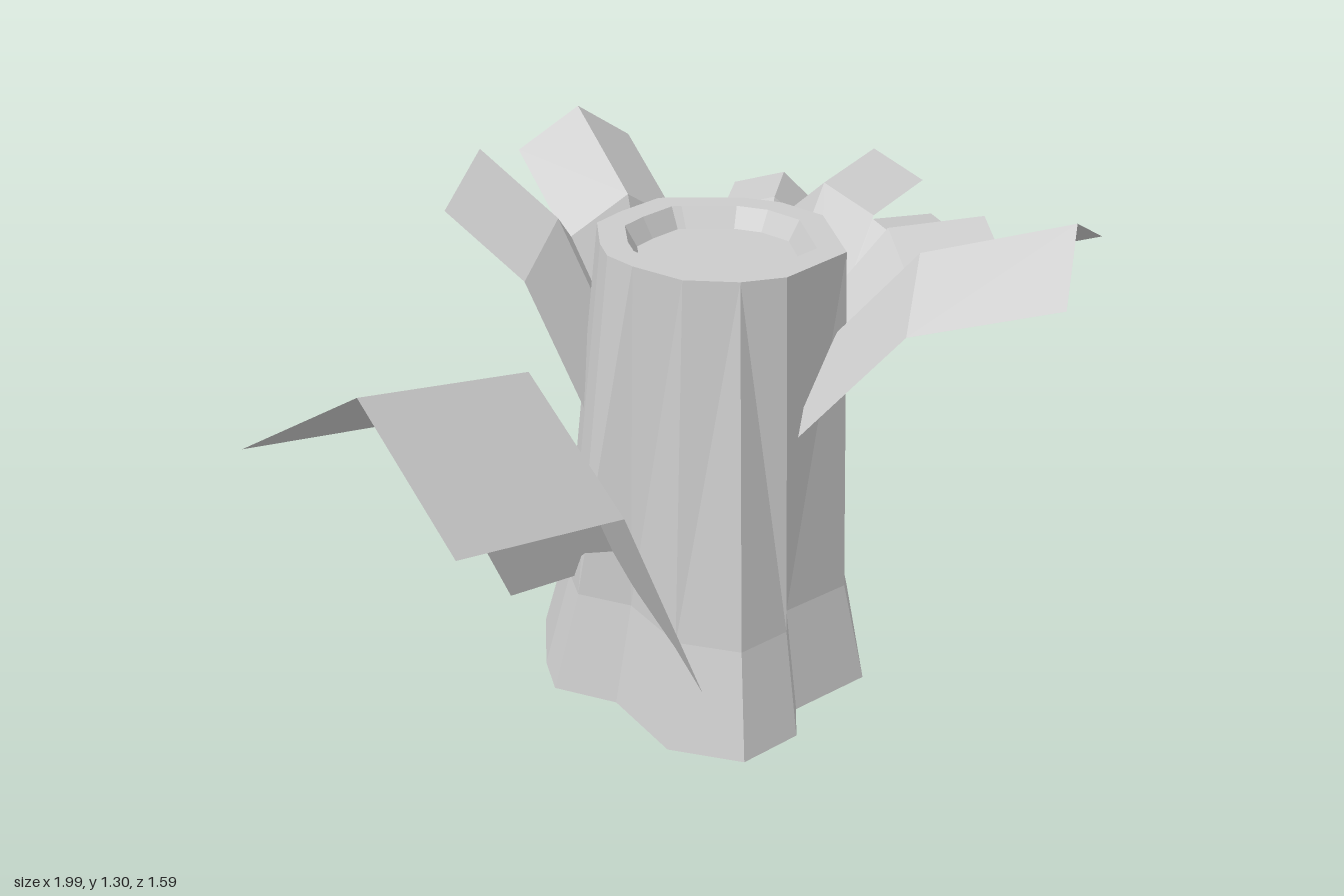
import * as THREE from 'three';

const material = new THREE.MeshStandardMaterial({ color: 0xcccccc, flatShading: true, side: THREE.DoubleSide });

// Skin a list of equally long cross-sections, each a list of [x, y, z]
function loft(name, sections, closed) {
  const n = sections[0].length;
  const index = [];
  for (let i = 0; i < sections.length - 1; i++) {
    for (let j = 0; j < (closed ? n : n - 1); j++) {
      const a = i * n + j, b = i * n + (j + 1) % n;
      index.push(a, a + n, b, b, a + n, b + n);
    }
  }
  const geometry = new THREE.BufferGeometry();
  geometry.setAttribute('position', new THREE.Float32BufferAttribute(sections.flat(2), 3));
  geometry.setIndex(index);
  geometry.computeVertexNormals();
  const mesh = new THREE.Mesh(geometry, material);
  mesh.name = name;
  return mesh;
}

// Bent leaf: a roof-shaped cross-section carried along its ridge points, tilted sideways
function leaf(name, halfWidth, tilt, ridge) {
  const [, bend, tip] = ridge;
  const length = Math.hypot(tip[0] - bend[0], tip[2] - bend[2]);
  const dx = (tip[0] - bend[0]) / length, dz = (tip[2] - bend[2]) / length;
  const drop = 0.65 * halfWidth, out = 0.16 * halfWidth;
  const side = ([x, y, z], s) => [
    x + dx * out - dz * halfWidth * s, y - drop + tilt * s, z + dz * out + dx * halfWidth * s,
  ];
  return loft(name, ridge.map((p) => [side(p, -1), p, side(p, 1)]), false);
}

export function createModel() {
  const group = new THREE.Group();
  const cx = 0.23, cz = 0.03;

  // Trunk corners: x, z on the ground, then x, z at the rim; some root pairs meet at the rim
  const corners = [
    [0.73, -0.09, 0.53, 0.01], [0.51, 0.33, 0.44, 0.26], [0.28, 0.38, 0.23, 0.34],
    [0.22, 0.48, 0.12, 0.32], [0.05, 0.52, 0.12, 0.32], [-0.09, 0.39, 0.01, 0.25],
    [-0.11, 0.15, -0.05, 0.12], [-0.22, 0.02, -0.07, 0.03], [-0.19, -0.1, -0.05, -0.05],
    [-0.1, -0.3, 0.01, -0.19], [0.03, -0.37, 0.1, -0.24], [0.13, -0.48, 0.23, -0.29],
    [0.32, -0.45, 0.26, -0.28], [0.48, -0.21, 0.42, -0.2], [0.68, -0.22, 0.49, -0.12],
  ];
  const ring = (y, scale, k) => corners.map((c) => [cx + (c[k] - cx) * scale, y, cz + (c[k + 1] - cz) * scale]);

  // Flared trunk, open underneath
  group.add(loft('trunk', [ring(0, 1, 0), ring(0.26, 0.85, 0), ring(1.15, 1, 2)], true));
  // Flat rim, shallow inner wall and floor of the hollow
  group.add(loft('hollowRim', [ring(1.15, 1, 2), ring(1.15, 0.77, 2), ring(1.1, 0.67, 2), ring(1.1, 0, 2)], true));

  // Leaves, each ridge running from the trunk over a bend to the tip
  const leaves = [
    ['largeLeaf', 0.33, 0.012, [[-0.07, 0.36, 0.08], [-0.38, 1.01, 0.27], [-0.83, 1.11, 0.445]]],
    ['backLeaf', 0.165, 0, [[0.23, 0.67, -0.29], [0.23, 1.11, -0.46], [0.23, 1.27, -0.76]]],
    ['backRightLeaf', 0.17, 0, [[0.1, 0.72, -0.17], [-0.025, 1.12, -0.34], [-0.17, 1.28, -0.485]]],
    ['frontLeaf', 0.17, -0.03, [[0.38, 0.89, 0.23], [0.54, 1.18, 0.41], [0.76, 1.3, 0.68]]],
    ['sideLeaf1', 0.135, -0.045, [[0.46, 0.83, -0.18], [0.56, 1.11, -0.27], [0.69, 1.11, -0.44]]],
    ['sideLeaf2', 0.14, 0.03, [[0.43, 0.84, -0.06], [0.62, 1.18, -0.13], [0.82, 1.22, -0.21]]],
    ['sideLeaf3', 0.13, 0.03, [[0.45, 0.87, -0.02], [0.74, 1.08, -0.08], [0.95, 1.05, -0.12]]],
    ['sideLeaf4', 0.13, 0, [[0.48, 0.87, 0.02], [0.67, 1.12, 0.09], [0.9, 1.14, 0.17]]],
  ];
  for (const parameters of leaves) group.add(leaf(...parameters));

  return group;
}
